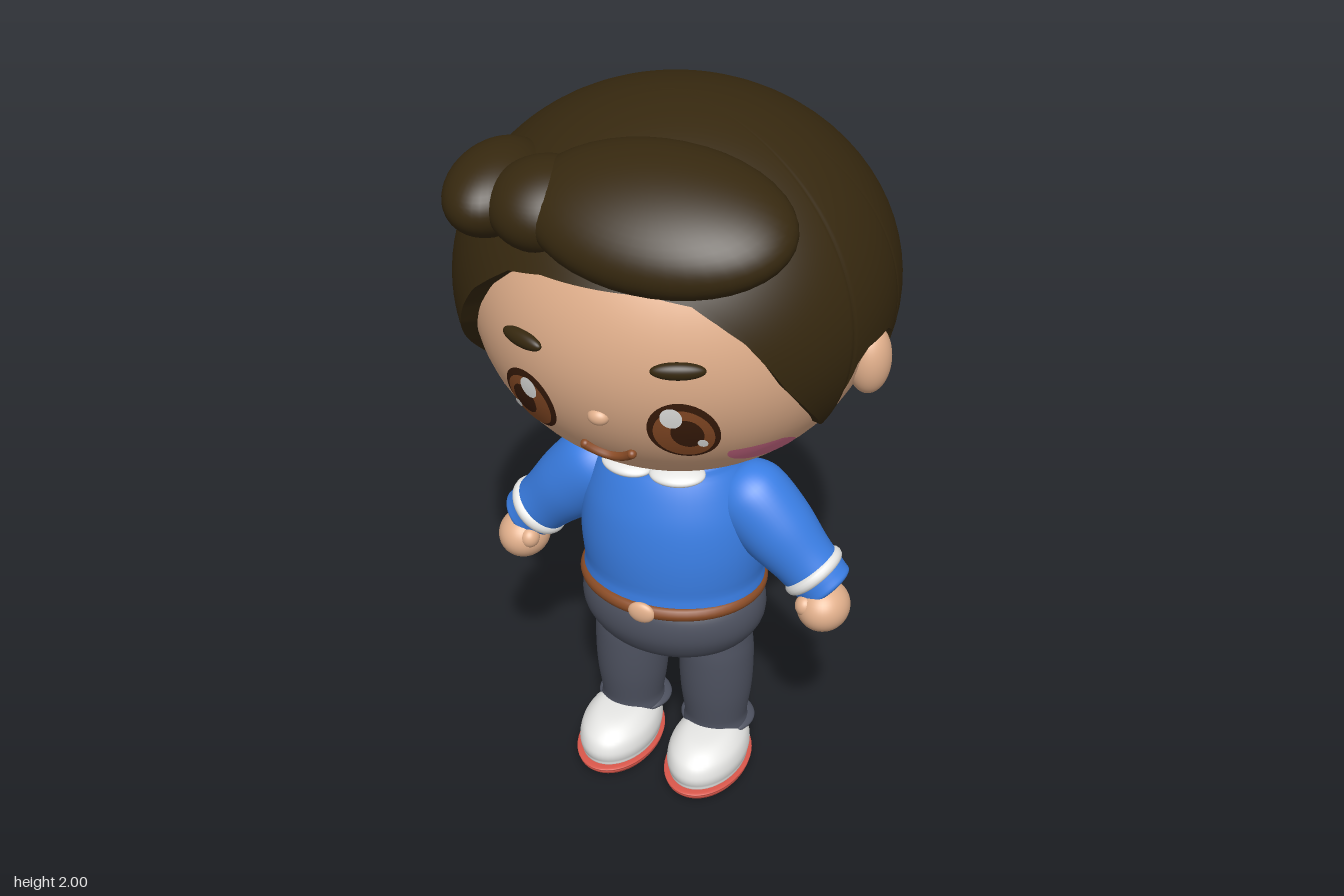
import * as THREE from 'three';

const mat = (name, color, side = THREE.FrontSide) => {
  const m = new THREE.MeshStandardMaterial({ color, side });
  m.name = name;
  return m;
};

// Head ellipsoid, shared by everything that lies on the face
const HEAD = { y: 1.49, a: 0.525, b: 0.475, c: 0.505 };
const faceZ = (x, y) =>
  HEAD.c * Math.sqrt(Math.max(0, 1 - (x / HEAD.a) ** 2 - ((y - HEAD.y) / HEAD.b) ** 2));

// Hair edge: [degrees from the front, height]
const HAIR_EDGE = [[0, 1.71], [15, 1.71], [26, 1.69], [32, 1.65], [38.6, 1.60], [44.7, 1.525],
  [50, 1.45], [59, 1.355], [66, 1.29], [68.5, 1.265], [70.5, 1.265], [71, 1.40], [73, 1.45],
  [77, 1.478], [88, 1.48], [93, 1.45], [95, 1.40], [96, 1.265], [180, 1.265]];
function hairEdge(deg) {
  let i = 1;
  while (HAIR_EDGE[i][0] < deg) i++;
  const [d0, y0] = HAIR_EDGE[i - 1], [d1, y1] = HAIR_EDGE[i];
  return y0 + (y1 - y0) * (deg - d0) / (d1 - d0);
}

// Surface from rows of points that wrap around
function wrapGrid(rows, cols, point) {
  const pos = [], idx = [];
  for (let i = 0; i <= rows; i++) for (let j = 0; j < cols; j++) pos.push(...point(i / rows, j / cols));
  for (let i = 0; i < rows; i++) for (let j = 0; j < cols; j++) {
    const k = (j + 1) % cols, a = i * cols + j, c = i * cols + k;
    idx.push(a, a + cols, c, a + cols, c + cols, c);
  }
  const g = new THREE.BufferGeometry();
  g.setAttribute('position', new THREE.Float32BufferAttribute(pos, 3));
  g.setIndex(idx);
  g.computeVertexNormals();
  return g;
}
function hairPoint(t, u) {
  const deg = u * 360, phi = u * Math.PI * 2;
  const th = t * Math.acos((hairEdge(Math.min(deg, 360 - deg)) - 1.515) / 0.485);
  return [0.565 * Math.sin(th) * Math.sin(phi), 1.515 + 0.485 * Math.cos(th), 0.555 * Math.sin(th) * Math.cos(phi)];
}
function hairRim(t, u) {
  const [x, y, z] = hairPoint(1, u), k = 1 - 0.13 * t;
  return [x * k, y, z * k];
}

// Thin disc laid on the face; cut trims its top flat
function facePatch(cx, cy, rx, ry, lift, cut = 1) {
  const g = new THREE.RingGeometry(0.001, 1, 40, 5), p = g.attributes.position;
  for (let i = 0; i < p.count; i++) {
    const x = cx + p.getX(i) * rx, y = cy + Math.min(p.getY(i), cut) * ry;
    p.setXYZ(i, x, y, faceZ(x, y) + lift);
  }
  g.computeVertexNormals();
  return g;
}

// Smooth turned shape from [radius, height] points, bottom to top
function turned(points) {
  const curve = new THREE.SplineCurve(points.map(p => new THREE.Vector2(...p)));
  return new THREE.LatheGeometry(curve.getPoints(40).map(p => p.setX(Math.max(0, p.x))), 48);
}

export function createModel() {
  const model = new THREE.Group();
  const hair = mat('dark brown hair', 0x36280f, THREE.DoubleSide);
  const skin = mat('skin', 0xe2b08c);
  const blue = mat('blue cloth', 0x3a7ee4);
  const white = mat('white', 0xf0f0ee);
  const grey = mat('slate grey cloth', 0x4d515f);
  const brown = mat('belt brown', 0x8a4c26);
  const red = mat('red sole', 0xd8564a);
  const pink = mat('blush pink', 0xd8708e);
  const dark = mat('eye dark', 0x3a1c0a);

  const add = (name, geo, material, pos = [0, 0, 0], scale = [1, 1, 1], rot = [0, 0, 0], parent = model) => {
    const m = new THREE.Mesh(geo, material);
    m.name = name;
    m.position.set(...pos);
    m.scale.set(...scale);
    m.rotation.set(...rot);
    parent.add(m);
    return m;
  };
  const ball = new THREE.SphereGeometry(1, 40, 28);
  const blob = (name, material, pos, radii, rot) => add(name, ball, material, pos, radii, rot);

  // Head and hair
  add('head', new THREE.SphereGeometry(1, 64, 48), skin, [0, HEAD.y, 0], [HEAD.a, HEAD.b, HEAD.c]);
  add('hair', wrapGrid(28, 360, hairPoint), hair);
  add('hairRim', wrapGrid(1, 360, hairRim), hair);
  blob('quiff', hair, [0.105, 1.84, 0.355], [0.33, 0.115, 0.21], [0.45, 0, -0.05]);
  blob('quiffMiddle', hair, [-0.18, 1.825, 0.36], [0.14, 0.1, 0.135], [0.3, 0, 0]);
  blob('quiffCurl', hair, [-0.335, 1.815, 0.3], [0.12, 0.1, 0.175], [0.1, 0, 0]);

  // Face
  blob('nose', skin, [0, 1.355, 0.48], [0.028, 0.022, 0.022]);
  const smile = [];
  for (let i = -4; i <= 4; i++) {
    const x = i * 0.0155, y = 1.207 + 7 * x * x;
    smile.push(new THREE.Vector3(x, y, faceZ(x, y) + 0.008));
  }
  add('mouth', new THREE.TubeGeometry(new THREE.CatmullRomCurve3(smile), 24, 0.012, 10), brown);
  for (const p of [smile[0], smile[8]]) blob('mouthCorner', brown, p.toArray(), [0.012, 0.012, 0.012]);

  // Torso, collar, belt and hips
  add('shirt', turned([[0, 0.6], [0.23, 0.6], [0.25, 0.66], [0.258, 0.76], [0.248, 0.86], [0.222, 0.94],
    [0.19, 1.0], [0.16, 1.03], [0, 1.04]]), blue, [0, 0, 0.02], [1, 1, 0.84]);
  add('belt', new THREE.TorusGeometry(0.24, 0.022, 14, 64), brown, [0, 0.61, 0.022], [1, 0.87, 0.9], [Math.PI / 2, 0, 0]);
  blob('buckle', skin, [0, 0.61, 0.245], [0.038, 0.031, 0.016]);
  add('hips', turned([[0, 0.385], [0.12, 0.395], [0.205, 0.43], [0.25, 0.485], [0.26, 0.54], [0.243, 0.59],
    [0.2, 0.615], [0, 0.62]]), grey, [0, 0, 0.02], [1, 1, 0.81]);

  const sleeveGeo = turned([[0, -0.315], [0.07, -0.31], [0.08, -0.28], [0.088, -0.2], [0.105, -0.1],
    [0.11, 0], [0.097, 0.055], [0.06, 0.095], [0, 0.11]]);
  const legGeo = turned([[0, 0.11], [0.085, 0.12], [0.088, 0.16], [0.1, 0.25], [0.104, 0.34], [0.1, 0.42],
    [0.08, 0.5], [0, 0.52]]);
  const shoeGeo = turned([[0, 0.03], [0.09, 0.03], [0.104, 0.05], [0.107, 0.08], [0.095, 0.115],
    [0.06, 0.143], [0, 0.15]]);
  const soleGeo = turned([[0, 0.002], [0.09, 0.004], [0.108, 0.016], [0.112, 0.027], [0.104, 0.038], [0, 0.042]]);

  for (const s of [1, -1]) {
    const side = s > 0 ? 'left' : 'right';
    // Ear, eye, brow and cheek
    blob(side + 'Ear', skin, [s * 0.515, 1.375, 0], [0.055, 0.095, 0.062]);
    add(side + 'EyeRim', facePatch(s * 0.2, 1.335, 0.08, 0.095, 0.006), dark);
    add(side + 'Iris', facePatch(s * 0.202, 1.33, 0.067, 0.08, 0.01), brown);
    add(side + 'Pupil', facePatch(s * 0.213, 1.335, 0.036, 0.047, 0.014), dark);
    add(side + 'EyeShine', facePatch(s * 0.185, 1.39, 0.025, 0.031, 0.018), white);
    add(side + 'EyeGlint', facePatch(s * 0.243, 1.303, 0.011, 0.014, 0.018), white);
    blob(side + 'Brow', hair, [s * 0.2, 1.518, faceZ(0.2, 1.518) + 0.004], [0.066, 0.022, 0.02], [0, s * 0.4, 0]);
    add(side + 'Blush', facePatch(s * 0.333, 1.225, 0.059, 0.047, 0.008, 0.55), pink);
    blob(side + 'Collar', white, [s * 0.07, 1.02, 0.165], [0.074, 0.021, 0.052], [0.1, s * 0.2, 0]);

    // Arm
    const arm = new THREE.Group();
    arm.name = side + 'Arm';
    arm.position.set(s * 0.23, 0.895, 0.025);
    arm.rotation.z = s * 0.763;
    model.add(arm);
    add(side + 'Sleeve', sleeveGeo, blue, [0, 0, 0], [1, 1, 0.95], [0, 0, 0], arm);
    add(side + 'Cuff', new THREE.TorusGeometry(0.072, 0.019, 14, 40), white, [0, -0.25, 0], [1, 1, 1],
      [Math.PI / 2, 0, 0], arm);
    blob(side + 'Hand', skin, [s * 0.442, 0.628, 0.048], [0.071, 0.068, 0.08]);
    blob(side + 'Thumb', skin, [s * 0.405, 0.645, 0.09], [0.027, 0.03, 0.03]);

    // Leg and shoe
    add(side + 'Leg', legGeo, grey, [s * 0.128, 0, 0.02]);
    blob(side + 'TrouserCuff', grey, [s * 0.128, 0.127, 0.004], [0.106, 0.022, 0.097]);
    add(side + 'Shoe', shoeGeo, white, [s * 0.135, 0, 0.09], [1, 1, 1.54]);
    add(side + 'Sole', soleGeo, red, [s * 0.135, 0, 0.093], [1, 1, 1.53]);
  }
  return model;
}
